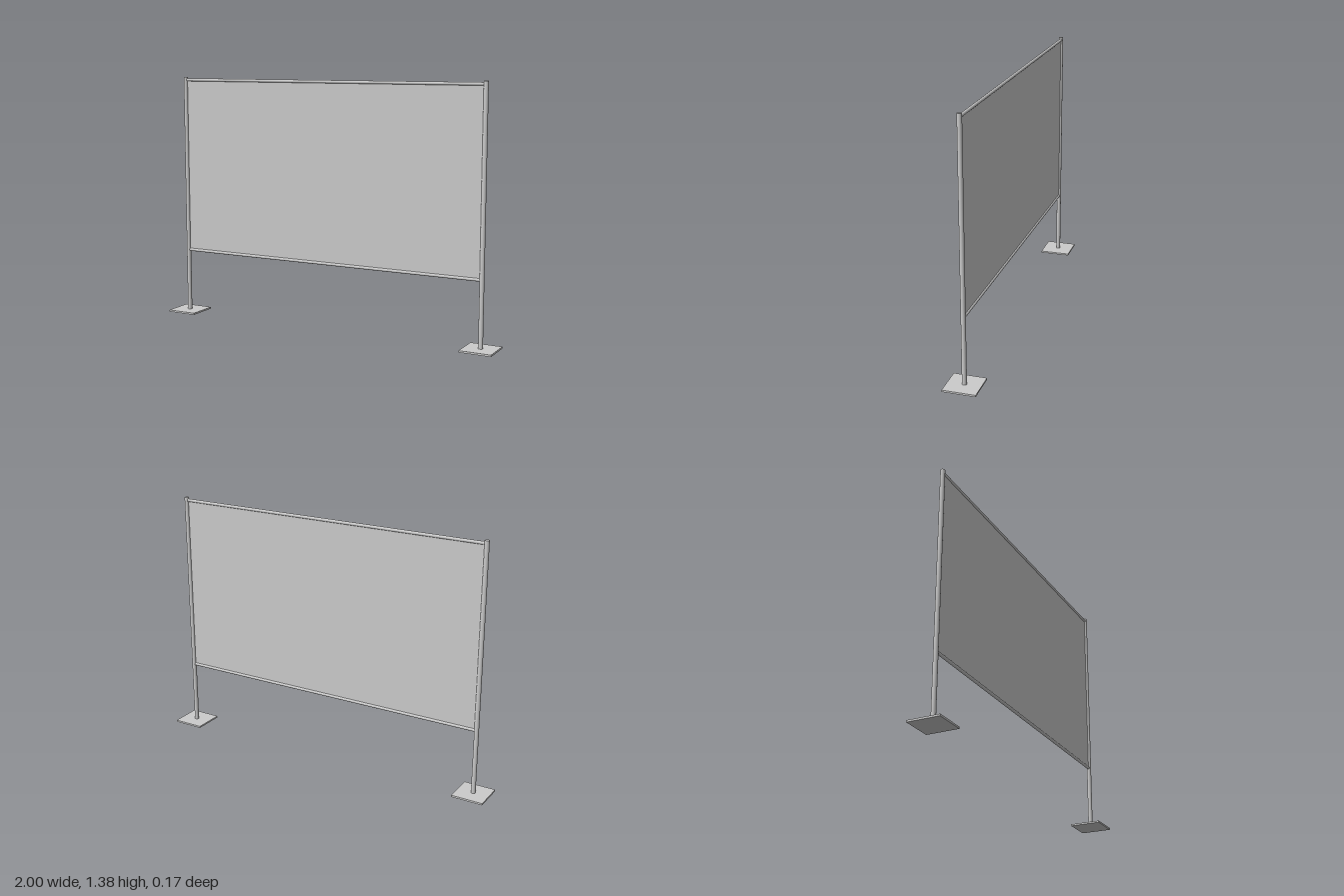
import * as THREE from 'three';

export function createModel() {
  const model = new THREE.Group();
  model.name = 'freestandingScreen';
  const material = new THREE.MeshStandardMaterial({ color: 0xcccccc });

  const add = (name, geometry, x, y, z = 0) => {
    const mesh = new THREE.Mesh(geometry, material);
    mesh.name = name;
    mesh.position.set(x, y, z);
    model.add(mesh);
    return mesh;
  };

  const postX = 0.9125, height = 1.383, baseThickness = 0.01;

  // Square foot plates and round posts
  for (const [side, s] of [['left', 1], ['right', -1]]) {
    add(side + 'Base', new THREE.BoxGeometry(0.175, baseThickness, 0.175), s * postX, baseThickness / 2);
    const length = height - baseThickness;
    add(side + 'Post', new THREE.CylinderGeometry(0.0125, 0.0125, length, 24), s * postX, baseThickness + length / 2);
  }

  // Round rails between the posts
  for (const [name, y] of [['topRail', 1.367], ['bottomRail', 0.37]]) {
    const rail = add(name, new THREE.CylinderGeometry(0.0085, 0.0085, 2 * postX, 20), 0, y);
    rail.rotation.z = Math.PI / 2;
  }

  // Thin panel stretched inside the frame
  add('panel', new THREE.BoxGeometry(1.808, 0.997, 0.003), 0, 0.8685);

  return model;
}
